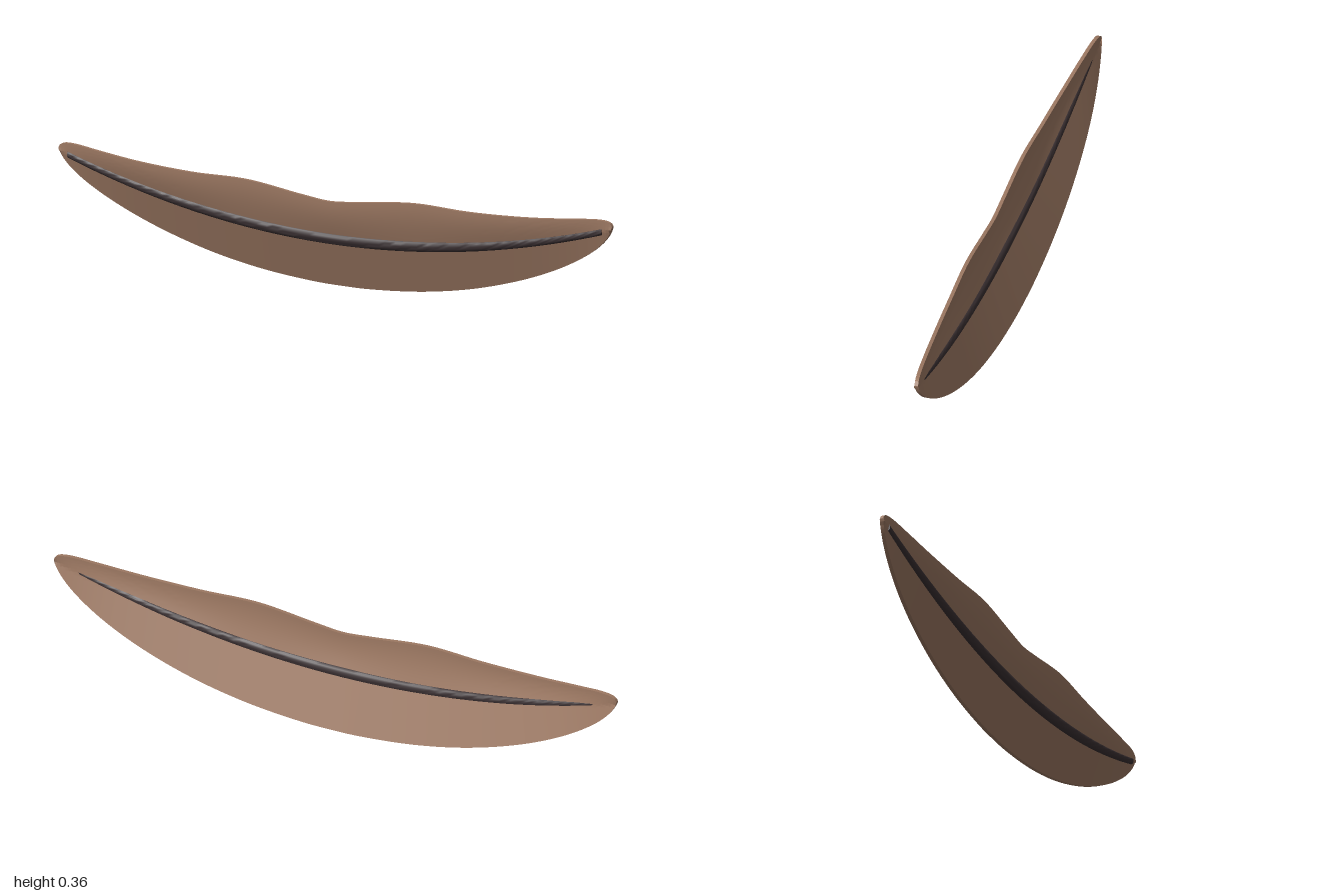
import * as THREE from 'three';
import { toCreasedNormals } from 'three/addons/utils/BufferGeometryUtils.js';

// Skin a row of closed rings running along +x; each ring goes up the front and down the back
function loft(rings) {
  const n = rings[0].length, pos = [], idx = [];
  rings.forEach(r => r.forEach(p => pos.push(...p)));
  for (let i = 0; i < rings.length - 1; i++) {
    for (let j = 0; j < n; j++) {
      const k = (j + 1) % n, a = i * n + j, b = a + n, c = (i + 1) * n + k, d = i * n + k;
      idx.push(a, b, c, a, c, d);
    }
  }
  const g = new THREE.BufferGeometry();
  g.setAttribute('position', new THREE.Float32BufferAttribute(pos, 3));
  g.setIndex(idx);
  return toCreasedNormals(g, 0.7);
}

// Height and depth of the line where the lips meet
const seamY = x => 0.175 + 0.157 * x * x;
const seamZ = x => 0.019 - 0.016 * x * x;

// Half outline of the lips: x, lower edge, upper edge
const half = [
  [0, 0.001, 0.305], [0.1, 0.003, 0.314], [0.3, 0.022, 0.337], [0.5, 0.062, 0.333],
  [0.7, 0.127, 0.339], [0.85, 0.198, 0.351], [0.94, 0.259, 0.359], [0.98, 0.3, 0.357],
  [0.995, 0.325, 0.35], [1, 0.339, 0.342],
];

function lipsGeometry() {
  const points = [...half.slice(1).reverse().map(([x, b, t]) => [-x, b, t]), ...half]
    .map(p => new THREE.Vector3(...p));
  const outline = new THREE.CatmullRomCurve3(points);
  const steps = 180, rows = 24, rings = [];
  for (let i = 0; i <= steps; i++) {
    const { x, y: low, z: high } = outline.getPoint(i / steps);
    const ax = Math.abs(x);
    const mid = THREE.MathUtils.clamp(seamY(x), low, high);
    const zLow = -0.048 + 0.024 * ax ** 2 + 0.024 * ax ** 6;
    const zHigh = 0.049 - 0.048 * ax ** 2.6;
    const front = [], back = [];
    for (let j = 0; j <= rows; j++) {
      const v = (j / rows) * 2;
      const lower = v < 1;
      const y = lower ? THREE.MathUtils.lerp(low, mid, v) : THREE.MathUtils.lerp(mid, high, v - 1);
      const z = lower
        ? THREE.MathUtils.lerp(zLow, seamZ(x), v)
        : THREE.MathUtils.lerp(seamZ(x), zHigh, Math.sin((v - 1) * Math.PI / 2));
      front.push([x, y, z + 0.006]);
      back.unshift([x, y, z - 0.006]);
    }
    rings.push([...front, ...back]);
  }
  // Close the mouth corners
  const flat = r => r.map(() => [r[0][0], 0.3405, r[0][2] - 0.006]);
  return loft([flat(rings[0]), ...rings, flat(rings[steps])]);
}

function mouthLineGeometry() {
  const steps = 100, sides = 16, end = 0.965, rings = [];
  for (let i = -1; i <= steps + 1; i++) {
    const x = THREE.MathUtils.clamp((i / steps) * 2 - 1, -1, 1) * end;
    const cap = i < 0 || i > steps;
    const r = cap ? 0 : 0.02 - 0.009 * (x / end) ** 2;
    rings.push(Array.from({ length: sides }, (_, j) => {
      const a = (j / sides) * Math.PI * 2;
      return [x, seamY(x) - Math.cos(a) * r, seamZ(x) + 0.003 + Math.sin(a) * r * 0.75];
    }));
  }
  return loft(rings);
}

export function createModel() {
  const group = new THREE.Group();
  group.name = 'mouth';
  const add = (name, geometry, color) => {
    const mesh = new THREE.Mesh(geometry, new THREE.MeshStandardMaterial({ color }));
    mesh.name = name;
    group.add(mesh);
  };
  add('lips', lipsGeometry(), 0x9c7862);
  add('mouthLine', mouthLineGeometry(), 0x3a3032);
  return group;
}
